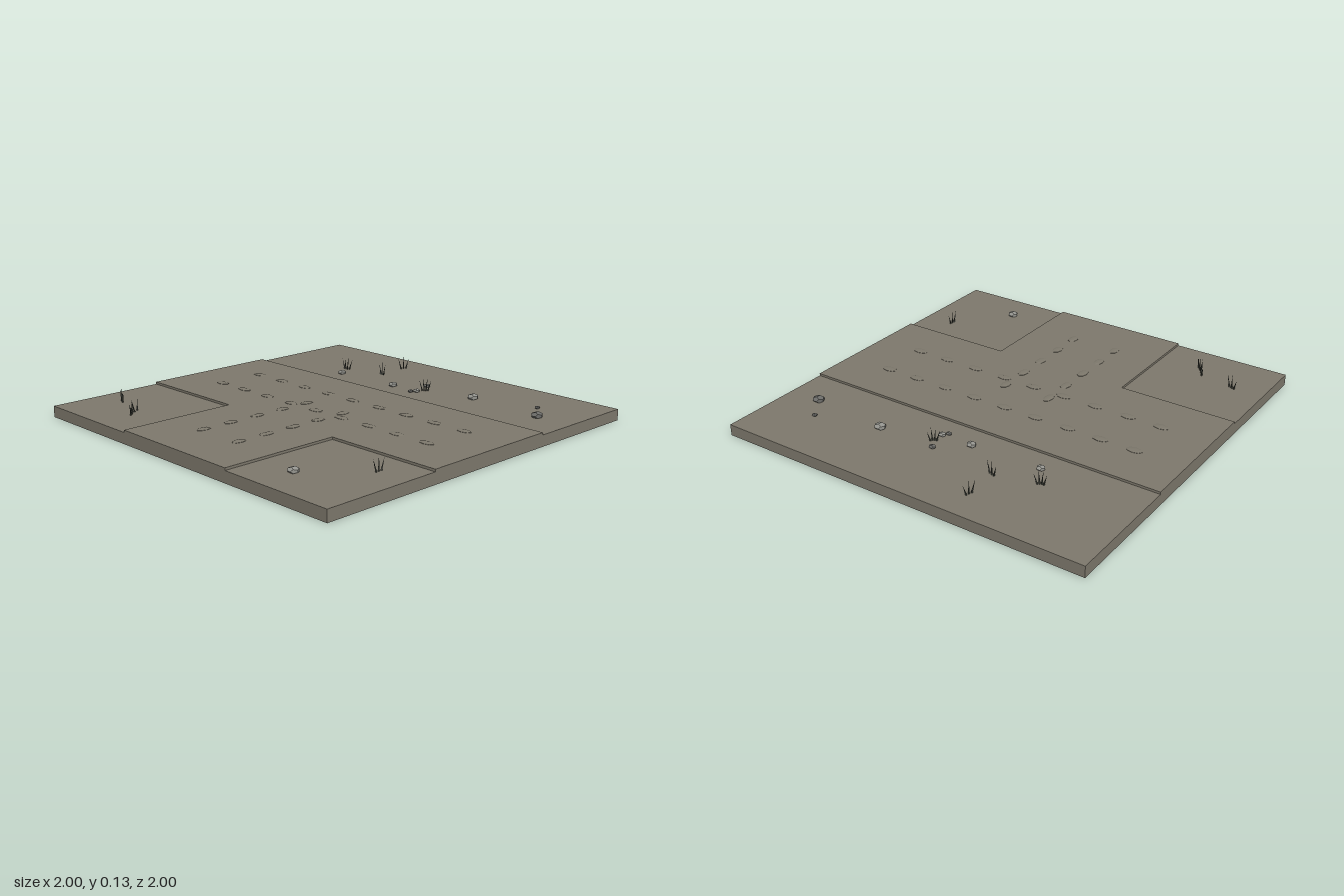
import * as THREE from 'three';

const GROUND_Y = 0.058, ROAD_Y = 0.07, HALF = 0.375;

const mat = (name, color, flat = false) => {
  const m = new THREE.MeshStandardMaterial({ color, flatShading: flat });
  m.name = name;
  return m;
};

export function createModel() {
  const root = new THREE.Group();
  root.name = 'roadJunctionTile';
  const earth = mat('earth', 0x7d786c, true);
  const paleStone = mat('paleStone', 0x94948e, true);
  const darkStone = mat('darkStone', 0x6c6c69, true);
  const grass = mat('dryGrass', 0x3f423a, true);

  const add = (name, geo, material, x, y, z, parent = root) => {
    const mesh = new THREE.Mesh(geo, material);
    mesh.name = name;
    mesh.position.set(x, y, z);
    parent.add(mesh);
    return mesh;
  };

  // Ground slab
  add('groundSlab', new THREE.BoxGeometry(2, GROUND_Y, 2), earth, 0, GROUND_Y / 2, 0);

  // T-shaped raised road; shape y becomes -z
  const t = new THREE.Shape([
    [-1, HALF], [-1, -HALF], [-HALF, -HALF], [-HALF, -1],
    [HALF, -1], [HALF, -HALF], [1, -HALF], [1, HALF],
  ].map(([x, y]) => new THREE.Vector2(x, y)));
  const roadGeo = new THREE.ExtrudeGeometry(t, { depth: ROAD_Y - GROUND_Y, bevelEnabled: false });
  roadGeo.rotateX(-Math.PI / 2);
  add('road', roadGeo, earth, 0, GROUND_Y, 0);

  // Shallow lumps along the wheel tracks
  const lumpGeo = new THREE.SphereGeometry(1, 8, 5);
  const lump = (x, z, sx, sz) =>
    add('trackLump', lumpGeo, earth, x, ROAD_Y, z).scale.set(sx, 0.005, sz);
  for (const side of [-1, 1]) {
    for (let i = -4; i <= 4; i++) lump(i * 0.183, side * 0.13, 0.045, 0.025);
    for (let i = 0; i < 5; i++) lump(side * 0.13, 0.07 + i * 0.163, 0.025, 0.042);
  }

  // Loose stones: x, z, radius, material
  const stoneGeo = new THREE.DodecahedronGeometry(1);
  [
    [-0.46, -0.5, 0.023, paleStone], [-0.08, -0.51, 0.025, paleStone],
    [0.09, -0.51, 0.019, paleStone], [0.38, -0.62, 0.031, paleStone],
    [0.595, 0.81, 0.029, paleStone], [0.06, -0.625, 0.018, darkStone],
    [0.07, -0.485, 0.015, darkStone], [0.72, -0.71, 0.014, darkStone],
    [0.81, -0.585, 0.032, darkStone],
  ].forEach(([x, z, r, m]) => {
    const s = add('stone', stoneGeo, m, x, 0.063 + r * 0.25, z);
    s.scale.set(r, r * 0.55, r);
    s.rotation.y = Math.PI / 2;
  });

  // Grass tufts: x, z, compass angle of the main spread, blade count
  const bladeGeo = new THREE.ConeGeometry(0.005, 1, 4);
  bladeGeo.translate(0, 0.5, 0);
  [
    [-0.31, -0.84, 1.9, 3], [-0.3, -0.655, 0.3, 3], [-0.525, -0.6, 2.6, 4],
    [0.1, -0.565, 2.2, 4], [0.83, 0.54, 1.6, 3], [-0.83, 0.705, 0.4, 3],
    [-0.63, 0.755, 0.8, 2], [-0.6, 0.805, 0.8, 3],
  ].forEach(([x, z, angle, count]) => {
    const tuft = new THREE.Group();
    tuft.name = 'grassTuft';
    tuft.position.set(x, GROUND_Y, z);
    root.add(tuft);
    for (let i = 0; i < count; i++) {
      const k = i / (count - 1) - 0.5;
      const a = angle + (i % 2) * 0.5;
      const dx = Math.cos(a) * k, dz = Math.sin(a) * k;
      const b = add('blade', bladeGeo, grass, dx * 0.03, 0, dz * 0.03, tuft);
      b.scale.y = 0.06 + ((i * 2) % 3) * 0.008;
      b.rotation.set(dz * 0.6, 0, -dx * 0.6);
    }
  });

  return root;
}
